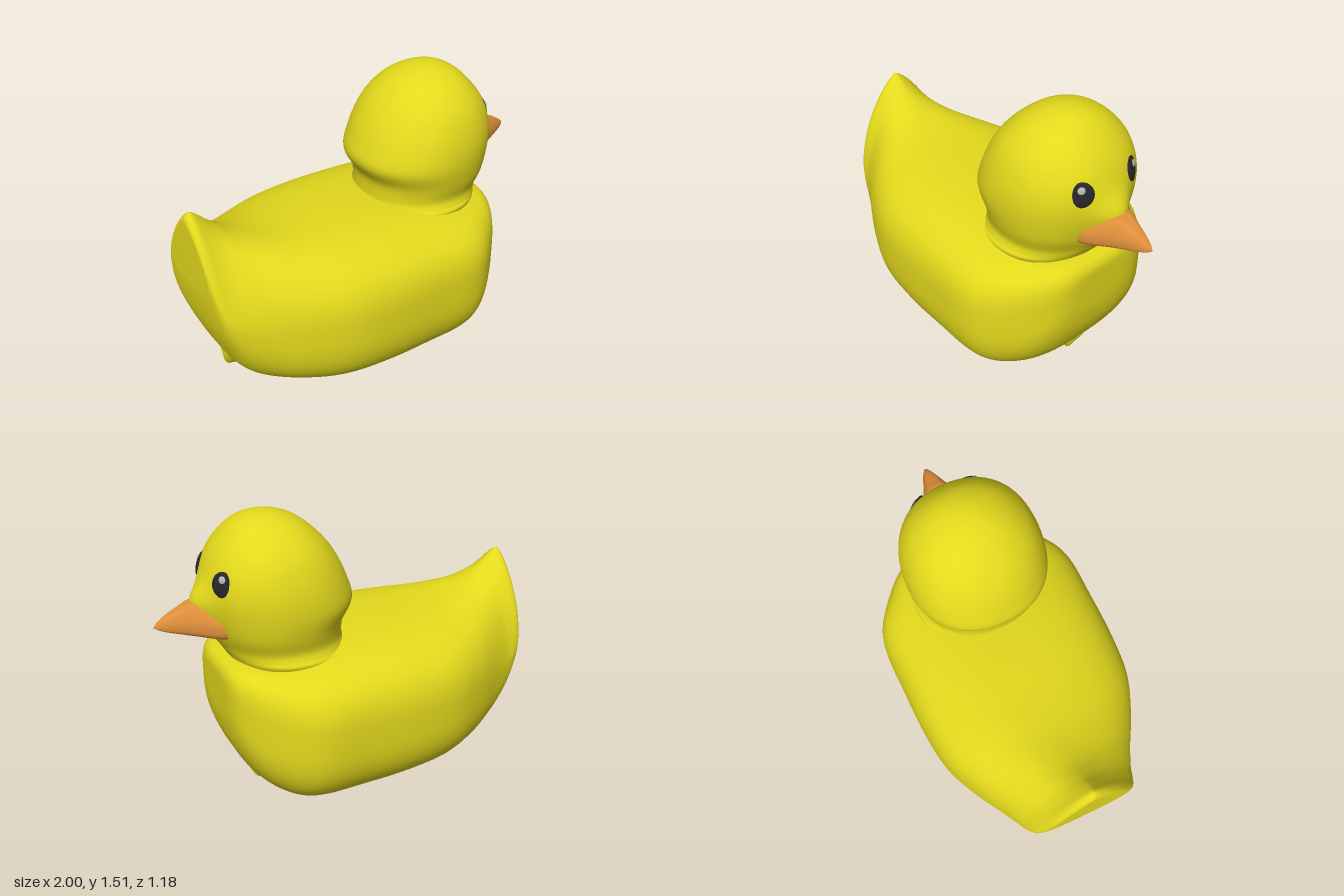
import * as THREE from 'three';

const YELLOW = 0xe3d91c, ORANGE = 0xdf8f3a, BLACK = 0x262629, GREY = 0xb8b8b8;

function mesh(name, geometry, color) {
  const m = new THREE.Mesh(geometry, new THREE.MeshStandardMaterial({ color }));
  m.name = name;
  return m;
}

// Smoothly resample a table of section parameters.
function resample(rows, steps) {
  const out = [], at = i => rows[Math.max(0, Math.min(rows.length - 1, i))];
  for (let k = 0; k < rows.length - 1; k++) {
    for (let s = 0; s < steps; s++) {
      const t = s / steps;
      out.push(rows[k].map((p1, c) => {
        const p0 = at(k - 1)[c], p2 = at(k + 1)[c], p3 = at(k + 2)[c];
        return p1 + 0.5 * t * (p2 - p0 + t * (2 * p0 - 5 * p1 + 4 * p2 - p3 + t * (3 * (p1 - p2) + p3 - p0)));
      }));
    }
  }
  out.push(rows[rows.length - 1]);
  return out;
}

// Skin over closed cross-sections; point(row, cos, sin) gives [x, y, z].
function loft(rows, point, steps = 5, sides = 80) {
  const sections = resample(rows, steps), pos = [], idx = [];
  const centres = [];
  sections.forEach((row, k) => {
    const sum = new THREE.Vector3();
    for (let i = 0; i < sides; i++) {
      const a = (i / sides) * Math.PI * 2;
      const p = point(row, Math.cos(a), Math.sin(a));
      pos.push(...p);
      sum.add(new THREE.Vector3(...p));
    }
    centres.push(sum.divideScalar(sides));
    if (k === 0) return;
    for (let i = 0; i < sides; i++) {
      const j = (i + 1) % sides, a = (k - 1) * sides, b = k * sides;
      idx.push(a + i, a + j, b + j, a + i, b + j, b + i);
    }
  });
  const n = sections.length, first = n * sides, last = (n - 1) * sides;
  pos.push(...centres[0].toArray(), ...centres[n - 1].toArray());
  for (let i = 0; i < sides; i++) {
    const j = (i + 1) % sides;
    idx.push(first, j, i, first + 1, last + i, last + j);
  }
  const g = new THREE.BufferGeometry();
  g.setAttribute('position', new THREE.Float32BufferAttribute(pos, 3));
  g.setIndex(idx);
  g.computeVertexNormals();
  return g;
}

const power = (v, n) => Math.sign(v) * Math.pow(Math.abs(v), 2 / n);
const bump = (v, width) => Math.exp(-((v / width) ** 2));

// Sections across x: x, bottom, top, height of widest point, half width, roundness of the upper half
const BODY = [
  [-1.0, 0.7, 1.05, 0.8, 0.19, 1.35],
  [-0.99, 0.6, 1.075, 0.72, 0.235, 1.35],
  [-0.965, 0.47, 1.09, 0.62, 0.28, 1.35],
  [-0.92, 0.34, 1.055, 0.56, 0.31, 1.4],
  [-0.86, 0.22, 1.0, 0.52, 0.335, 1.6],
  [-0.76, 0.13, 0.935, 0.5, 0.385, 2.0],
  [-0.6, 0.07, 0.885, 0.48, 0.475, 2.5],
  [-0.4, 0.03, 0.865, 0.47, 0.555, 2.8],
  [-0.15, 0.012, 0.858, 0.46, 0.583, 3.0],
  [0.1, 0.008, 0.845, 0.46, 0.587, 3.1],
  [0.3, 0.01, 0.825, 0.46, 0.587, 3.2],
  [0.42, 0.03, 0.812, 0.46, 0.555, 3.4],
  [0.53, 0.095, 0.803, 0.46, 0.475, 3.7],
  [0.62, 0.2, 0.795, 0.48, 0.385, 4],
  [0.68, 0.33, 0.77, 0.53, 0.29, 4],
  [0.705, 0.45, 0.735, 0.59, 0.2, 3.6],
  [0.71, 0.54, 0.7, 0.62, 0.1, 3],
];
const bodyPoint = ([x, lo, hi, mid, w, n], c, s) => {
  const e = c > 0 ? n : 2.75;
  return [x, mid + (c > 0 ? hi - mid : mid - lo) * power(c, e), w * power(s, e)];
};

// Sections across y: y, back x, front x, half width
const HEAD = [
  [0.74, 0.06, 0.62, 0.32],
  [0.8, 0.035, 0.645, 0.356],
  [0.83, 0.04, 0.66, 0.342],
  [0.87, 0.045, 0.675, 0.333],
  [0.95, 0.04, 0.71, 0.354],
  [1.05, -0.012, 0.735, 0.37],
  [1.15, 0.015, 0.744, 0.366],
  [1.25, 0.06, 0.728, 0.342],
  [1.34, 0.12, 0.685, 0.3],
  [1.42, 0.2, 0.62, 0.228],
  [1.47, 0.275, 0.56, 0.15],
  [1.5, 0.36, 0.49, 0.065],
  [1.507, 0.415, 0.44, 0.01],
];
// The face is drawn forward along the middle, over the beak and under the chin
const headPoint = ([y, back, front, w], c, s) => {
  const e = s > 0 ? 2.2 : 2.15, z = w * power(c, e);
  const pull = s > 0 ? (0.075 * bump(y - 1.08, 0.1) + 0.02 * bump(y - 0.9, 0.06)) * bump(z, 0.1) : 0;
  return [(back + front) / 2 + (front - back) / 2 * power(s, e) + pull, y, z];
};

// Sections across x: x, bottom, top, half width
const BEAK = [
  [0.62, 0.915, 1.1, 0.163],
  [0.69, 0.92, 1.1, 0.163],
  [0.75, 0.928, 1.1, 0.13],
  [0.82, 0.941, 1.098, 0.088],
  [0.87, 0.953, 1.078, 0.065],
  [0.93, 0.968, 1.053, 0.04],
  [0.975, 0.983, 1.026, 0.02],
  [1.0, 0.997, 1.003, 0.002],
];
// Upright sides below, drawn in towards a narrower top
const beakPoint = ([x, lo, hi, w], c, s) => {
  const v = power(c, 5);
  return [x, (lo + hi) / 2 + (hi - lo) / 2 * v, w * power(s, 5) * (1 - 0.4 * Math.max(0, v))];
};

// Small keel point: x, bottom, top and half width of its sections
function keel(name, rows) {
  return mesh(name, loft(rows, ([x, lo, hi, w], c, s) =>
    [x, (lo + hi) / 2 + (hi - lo) / 2 * power(c, 1.3), w * power(s, 1.3)], 3, 16), YELLOW);
}

function makeEye(side) {
  const eye = new THREE.Group();
  eye.name = side > 0 ? 'leftEye' : 'rightEye';
  const ball = mesh('pupil', new THREE.SphereGeometry(1, 32, 20), BLACK);
  ball.scale.set(0.063, 0.064, 0.016);
  const shine = mesh('eyeHighlight', new THREE.SphereGeometry(1, 16, 12), GREY);
  shine.scale.set(0.019, 0.019, 0.006);
  shine.position.set(0, 0.026, 0.014);
  eye.add(ball, shine);
  // Lie flat on the curve of the head
  eye.position.set(0.695, 1.223, 0.165 * side);
  eye.lookAt(0.695 + 0.8, 1.223 + 0.22, (0.165 + 0.56) * side);
  return eye;
}

export function createModel() {
  const duck = new THREE.Group();
  duck.name = 'duck';
  duck.add(
    mesh('body', loft(BODY, bodyPoint), YELLOW),
    mesh('head', loft(HEAD, headPoint), YELLOW),
    mesh('beak', loft(BEAK, beakPoint), ORANGE),
    keel('frontKeel', [[0.42, 0.02, 0.1, 0.03], [0.5, 0.0, 0.16, 0.028], [0.55, 0.075, 0.2, 0.022], [0.61, 0.175, 0.28, 0.012]]),
    keel('rearKeel', [[-0.87, 0.2, 0.34, 0.03], [-0.845, 0.12, 0.3, 0.04], [-0.72, 0.105, 0.2, 0.05], [-0.62, 0.08, 0.15, 0.04]]),
    makeEye(1),
    makeEye(-1),
  );
  return duck;
}
